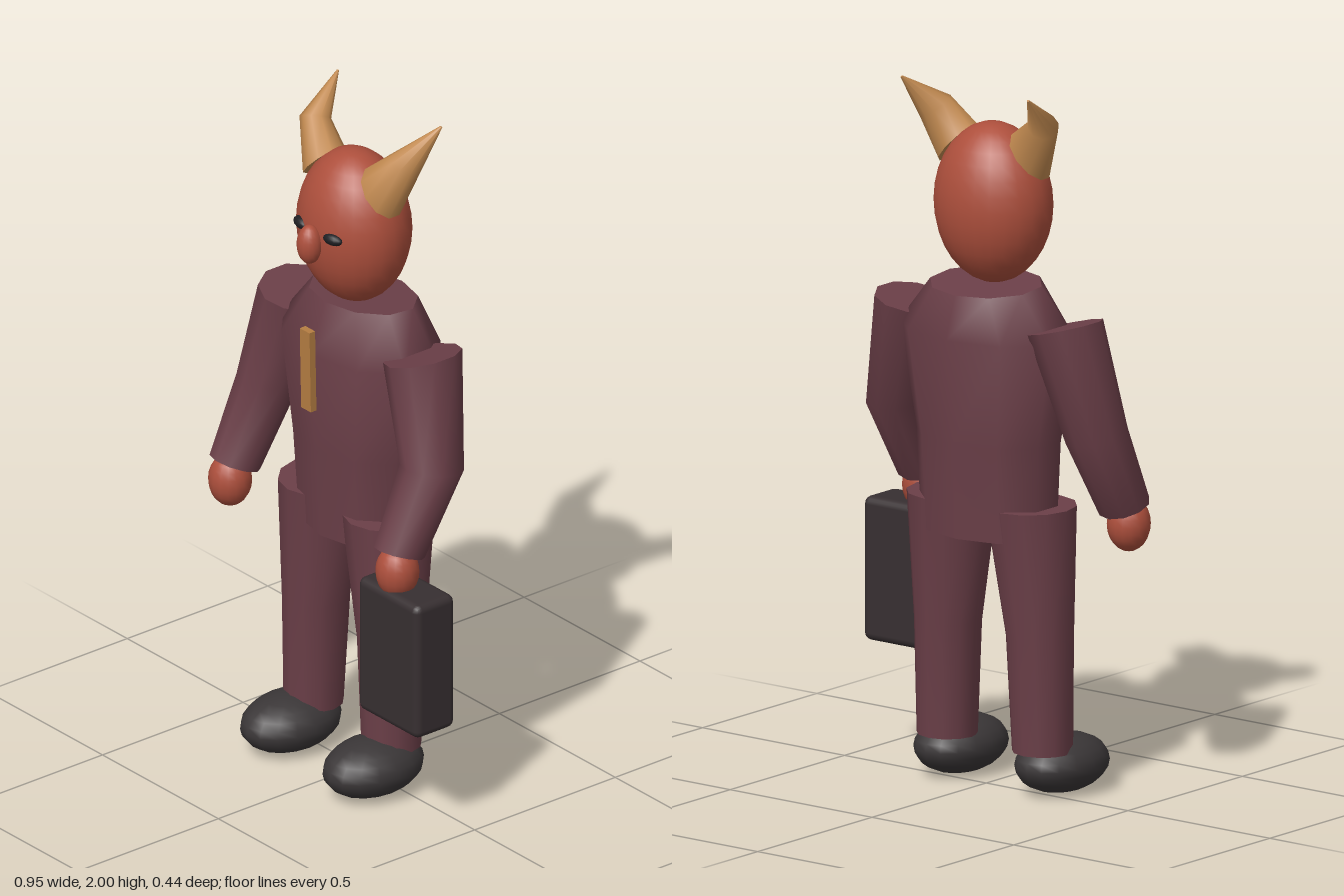
import * as THREE from 'three';
import { RoundedBoxGeometry } from 'three/addons/geometries/RoundedBoxGeometry.js';

const material = (name, color) => {
  const m = new THREE.MeshStandardMaterial({ color });
  m.name = name;
  return m;
};

// Skin over rings [centre, U, V]; each ring is centre + U sin + V cos, listed along V x U.
function loft(rings, sides) {
  const pos = [], index = [], last = rings.length - 1;
  const addRing = ([c, u, v]) => {
    const start = pos.length / 3;
    for (let j = 0; j < sides; j++) {
      const t = (j / sides) * Math.PI * 2;
      for (let k = 0; k < 3; k++) pos.push(c[k] + u[k] * Math.sin(t) + v[k] * Math.cos(t));
    }
    return start;
  };
  rings.forEach(addRing);
  for (let i = 0; i < last; i++) {
    for (let j = 0; j < sides; j++) {
      const a = i * sides + j, b = i * sides + ((j + 1) % sides);
      index.push(a, b, b + sides, a, b + sides, a + sides);
    }
  }
  // flat end caps with their own vertices
  for (const i of [0, last]) {
    const start = addRing(rings[i]), mid = pos.length / 3;
    pos.push(...rings[i][0]);
    for (let j = 0; j < sides; j++) {
      const a = start + j, b = start + ((j + 1) % sides);
      if (i === 0) index.push(mid, b, a);
      else index.push(mid, a, b);
    }
  }
  const g = new THREE.BufferGeometry();
  g.setAttribute('position', new THREE.Float32BufferAttribute(pos, 3));
  g.setIndex(index);
  g.computeVertexNormals();
  return g;
}

// Upright ring with optional slopes of its plane along x and z.
const ring = (x, y, z, rx, rz, slopeX = 0, slopeZ = 0) =>
  [[x, y, z], [rx, rx * slopeX, 0], [0, rz * slopeZ, rz]];

// Rings are given for the -x side; side = 1 reflects them.
const forSide = (rings, side) => side < 0 ? rings : rings.map(([c, u, v]) =>
  [[-c[0], c[1], c[2]], [u[0], -u[1], -u[2]], [-v[0], v[1], v[2]]]);

export function createModel() {
  const suit = material('suit', 0x6b3f48);
  const skin = material('skin', 0xad4f3c);
  const horn = material('horn', 0xc28a50);
  const tieCloth = material('tieCloth', 0xb57d42);
  const shoe = material('shoeLeather', 0x3a3637);
  const caseLeather = material('caseLeather', 0x372f31);
  const eyeBlack = material('eyeBlack', 0x1f1f23);

  const model = new THREE.Group();
  model.name = 'hornedFigure';
  const body = new THREE.Group();
  body.name = 'body';
  body.position.x = -0.037;
  model.add(body);

  const add = (parent, name, geometry, mat, x = 0, y = 0, z = 0) => {
    const mesh = new THREE.Mesh(geometry, mat);
    mesh.name = name;
    mesh.position.set(x, y, z);
    parent.add(mesh);
    return mesh;
  };
  const ellipsoid = (rx, ry, rz, w = 24, h = 16) =>
    new THREE.SphereGeometry(1, w, h).scale(rx, ry, rz);

  // Jacket
  add(body, 'jacket', loft([
    ring(0, 0.73, -0.035, 0.215, 0.14),
    ring(0, 1.0, -0.035, 0.225, 0.16),
    ring(0, 1.3, -0.038, 0.277, 0.184),
    ring(0, 1.433, -0.047, 0.17, 0.138, 0, 0.09),
  ], 10), suit);

  // Tie
  const tie = add(body, 'tie', new THREE.BoxGeometry(0.042, 0.245, 0.02), tieCloth, 0, 1.257, 0.15);
  tie.rotation.x = 0.02;

  // Head and nose
  add(body, 'head', ellipsoid(0.175, 0.226, 0.149), skin, 0, 1.655, -0.014);
  add(body, 'nose', ellipsoid(0.036, 0.058, 0.036, 16, 12), skin, 0, 1.641, 0.145);

  for (const side of [-1, 1]) {
    const label = side > 0 ? 'left' : 'right';

    // Eyes
    const eye = add(body, label + 'Eye', ellipsoid(0.032, 0.017, 0.018, 12, 8), eyeBlack,
      side * 0.068, 1.673, 0.118);
    eye.rotation.y = side * 0.2;

    // Horns sweep outward, then up and back
    add(body, label + 'Horn', loft(forSide([
      [[-0.125, 1.8, -0.01], [0.056, 0.058, 0], [0, 0, 0.06]],
      [[-0.191, 1.9, -0.033], [0.043, 0.018, 0], [0, 0.02, 0.044]],
      [[-0.223, 1.998, -0.14], [0.003, 0.001, 0], [0, 0.002, 0.003]],
    ], side), 10), horn);

    // Sleeves, bent forward at the elbow
    add(body, label + 'Sleeve', loft(forSide([
      ring(-0.355, 0.822, 0.118, 0.073, 0.068, -0.06, 0.36),
      ring(-0.352, 1.045, 0, 0.086, 0.09, -0.05, 0.2),
      ring(-0.27, 1.345, -0.035, 0.098, 0.116, -0.25, 0),
    ], side), 10), suit);
    add(body, label + 'Hand', ellipsoid(0.061, 0.078, 0.061, 16, 12), skin,
      side * 0.361, 0.772, 0.13);

    // Trouser legs
    add(body, label + 'Leg', loft(forSide([
      ring(-0.168, 0.125, -0.008, 0.086, 0.083),
      ring(-0.162, 0.45, -0.012, 0.094, 0.096),
      ring(-0.138, 0.82, -0.022, 0.126, 0.132),
    ], side), 12), suit);

    // Shoes
    add(body, label + 'Shoe', ellipsoid(0.112, 0.082, 0.157, 16, 12), shoe,
      side * 0.178, 0.082, 0.065);
  }

  // Briefcase held in the left hand
  add(model, 'briefcase', new RoundedBoxGeometry(0.26, 0.408, 0.14, 2, 0.022), caseLeather,
    0.345, 0.526, 0.115);

  return model;
}
